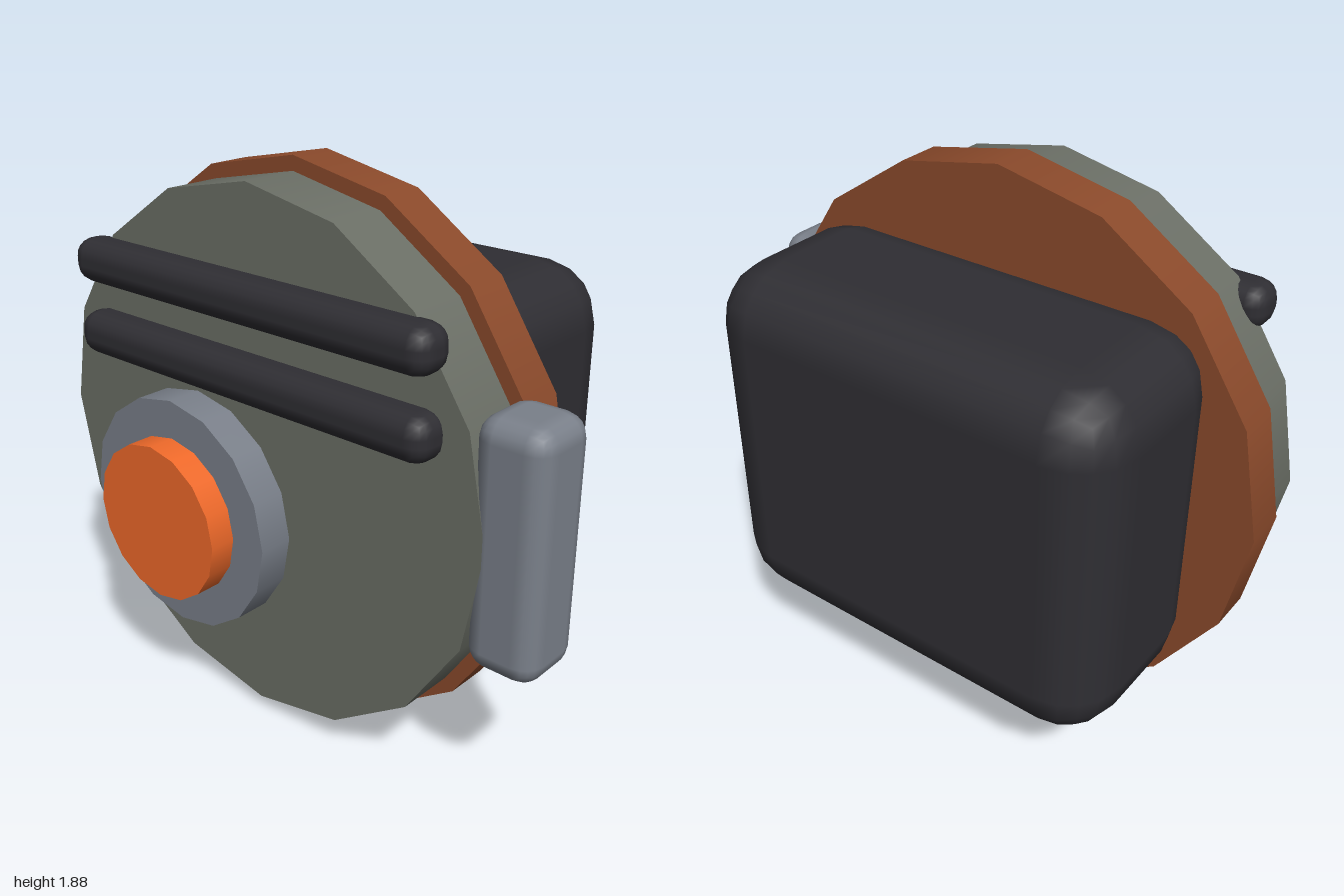
import * as THREE from 'three';
import { RoundedBoxGeometry } from 'three/addons/geometries/RoundedBoxGeometry.js';

const paint = (color) => new THREE.MeshStandardMaterial({ color });

export function createModel() {
  const model = new THREE.Group();
  const olive = paint(0x6b6f66);
  const rust = paint(0x8b4a2b);
  const orange = paint(0xf06a2a);
  const steel = paint(0x7a808a);
  const dark = paint(0x2f2e33);

  const add = (name, geometry, material, x, y, z) => {
    const mesh = new THREE.Mesh(geometry, material);
    mesh.name = name;
    mesh.position.set(x, y, z);
    model.add(mesh);
  };

  // sixteen-sided disc facing +z, from z0 to z1
  const disc = (name, material, radius, x, y, z0, z1) => {
    const geometry = new THREE.CylinderGeometry(radius, radius, z1 - z0, 16);
    geometry.rotateX(Math.PI / 2);
    add(name, geometry, material, x, y, (z0 + z1) / 2);
  };

  // softened block given by its size, edge radius and centre
  const block = (name, material, [w, h, d], radius, x, y, z) =>
    add(name, new RoundedBoxGeometry(w, h, d, 2, radius), material, x, y, z);

  // round body with its wider rim
  disc('body', olive, 0.89, -0.0625, 0.94, 0.002, 0.35);
  disc('rim', rust, 0.9375, -0.0625, 0.94, 0, 0.15);

  // dial and button on the front
  disc('dial', steel, 0.4, -0.3125, 0.72, 0.34, 0.47);
  disc('button', orange, 0.27, -0.3125, 0.72, 0.46, 0.56);

  // two bars across the front
  for (const y of [1.4875, 1.2375]) {
    block('frontBar', dark, [1.475, 0.148, 0.15], 0.062, -0.0625, y, 0.375);
  }

  // grip on the left side
  block('sideGrip', steel, [0.24, 0.785, 0.245], 0.07, 0.878, 0.942, 0.23);

  // pack on the back, its front sunk into the body
  block('backPack', dark, [1.475, 1.235, 0.69], 0.2, -0.0625, 0.94, -0.215);

  return model;
}
